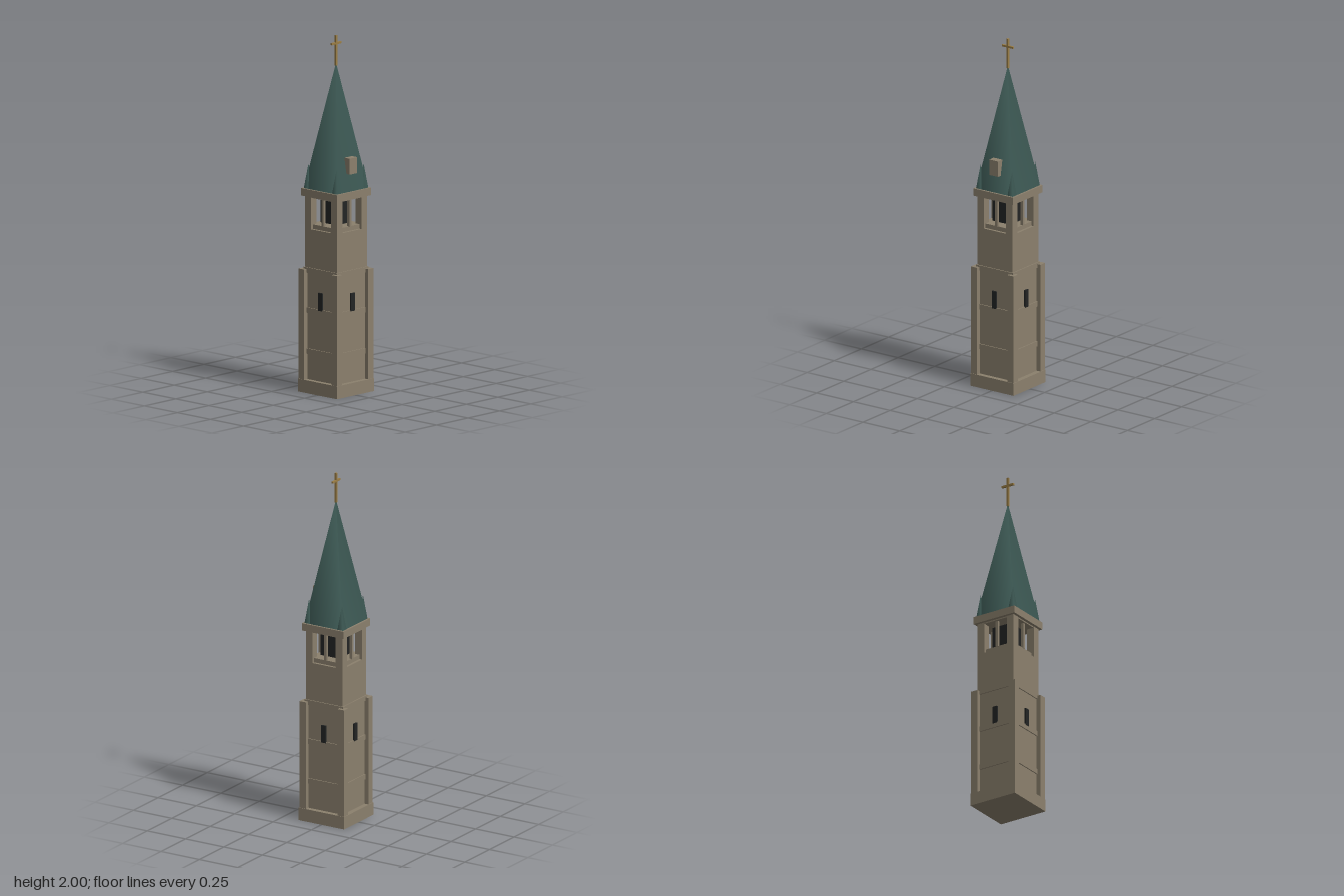
import * as THREE from 'three';

const stone = new THREE.MeshStandardMaterial({ name: 'stone', color: 0x8b806d });
const copper = new THREE.MeshStandardMaterial({ name: 'copper green', color: 0x3f5c57 });
const dark = new THREE.MeshStandardMaterial({ name: 'dark opening', color: 0x222424 });
const gold = new THREE.MeshStandardMaterial({ name: 'old gold', color: 0x9a7d45 });

export function createModel() {
  const tower = new THREE.Group();
  tower.name = 'bellTower';

  const add = (parent, name, geometry, material, x, y, z) => {
    const mesh = new THREE.Mesh(geometry, material);
    mesh.name = name;
    mesh.position.set(x, y, z);
    parent.add(mesh);
    return mesh;
  };
  // Box given by its size across, its bottom and top, and its depth
  const box = (parent, name, material, w, y0, y1, d, x = 0, z = 0) =>
    add(parent, name, new THREE.BoxGeometry(w, y1 - y0, d), material, x, (y0 + y1) / 2, z);
  // Four-sided smooth cone with sides parallel to the axes
  const pyramid = (name, half, y0, y1, x, z) => {
    const geometry = new THREE.ConeGeometry(half * Math.SQRT2, y1 - y0, 4);
    geometry.rotateY(Math.PI / 4);
    return add(tower, name, geometry, copper, x, (y0 + y1) / 2, z);
  };

  // Base, shaft and string courses
  box(tower, 'base', stone, 0.296, 0, 0.072, 0.296);
  box(tower, 'shaft', stone, 0.24, 0.072, 0.917, 0.24);
  for (const y of [0.23, 0.46, 0.685]) {
    box(tower, 'stringCourse', stone, 0.252, y - 0.015, y + 0.015, 0.252);
  }

  // Belfry floor, bell chamber and cornice
  box(tower, 'belfrySill', stone, 0.21, 0.917, 0.942, 0.21);
  box(tower, 'bellChamber', dark, 0.122, 0.95, 1.085, 0.122);
  box(tower, 'belfryLintel', stone, 0.236, 1.093, 1.105, 0.236);
  box(tower, 'cornice', stone, 0.272, 1.1, 1.142, 0.272);

  // Corner buttresses, belfry piers and pinnacles
  for (const sx of [-1, 1]) {
    for (const sz of [-1, 1]) {
      box(tower, 'buttress', stone, 0.042, 0.072, 0.69, 0.042, sx * 0.124, sz * 0.124);
      box(tower, 'belfryPier', stone, 0.045, 0.917, 1.1, 0.045, sx * 0.0975, sz * 0.0975);
      pyramid('pinnacle', 0.018, 1.142, 1.28, sx * 0.107, sz * 0.107);
    }
  }

  // Slit window and belfry mullion on each side
  for (let i = 0; i < 4; i++) {
    const side = new THREE.Group();
    side.name = 'towerSide';
    side.rotation.y = (i * Math.PI) / 2;
    box(side, 'slitWindow', dark, 0.03, 0.47, 0.57, 0.009, 0, 0.1245);
    box(side, 'mullion', stone, 0.016, 0.94, 1.1, 0.016, 0, 0.1);
    tower.add(side);
  }

  // Spire with its front dormer
  pyramid('spire', 0.125, 1.142, 1.845, 0, 0);
  box(tower, 'dormer', stone, 0.06, 1.24, 1.33, 0.04, 0, 0.112);

  // Cross on the tip
  box(tower, 'crossPost', gold, 0.011, 1.83, 2, 0.011);
  box(tower, 'crossBar', gold, 0.077, 1.949, 1.96, 0.011);

  return tower;
}
